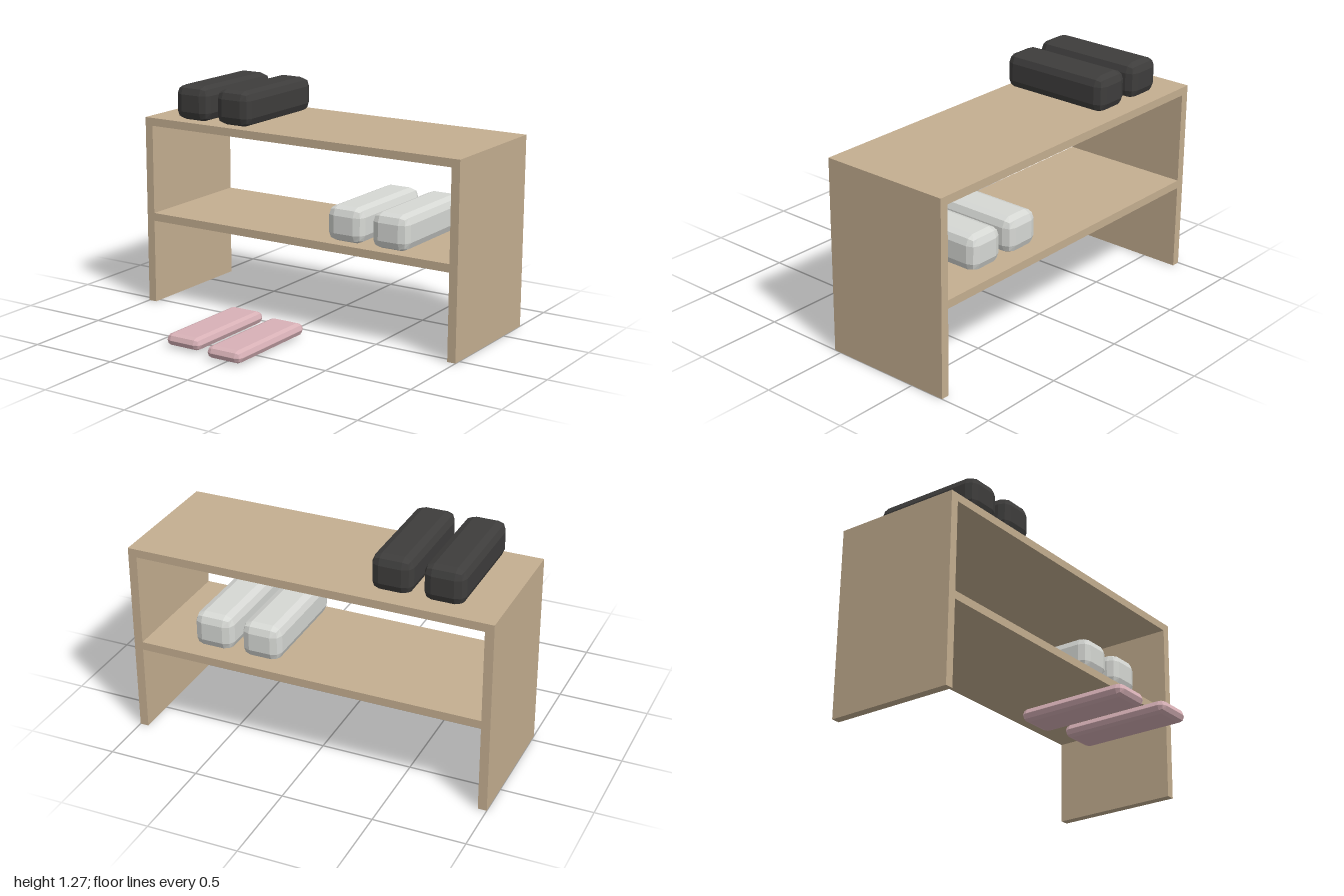
import * as THREE from 'three';
import { RoundedBoxGeometry } from 'three/addons/geometries/RoundedBoxGeometry.js';

const material = (name, color) => {
  const m = new THREE.MeshStandardMaterial({ color });
  m.name = name;
  return m;
};

// Closed outline from a list of corners
const trace = (path, corners) => path.setFromPoints(corners.map(([x, y]) => new THREE.Vector2(x, y))).closePath();

export function createModel() {
  const wood = material('wood', 0xc4ae90);
  const charcoal = material('charcoal', 0x3e3d3c);
  const paleGrey = material('paleGrey', 0xd6d8d4);
  const pink = material('pink', 0xd8b1b7);

  const model = new THREE.Group();
  model.name = 'shoeRack';

  // Open rack: two side panels, a top and a middle shelf in one profile
  const profile = trace(new THREE.Shape(), [
    [-1, 0], [-0.952, 0], [-0.952, 0.48], [0.952, 0.48],
    [0.952, 0], [1, 0], [1, 1.075], [-1, 1.075],
  ]);
  profile.holes.push(trace(new THREE.Path(), [
    [-0.952, 0.525], [-0.952, 1.03], [0.952, 1.03], [0.952, 0.525],
  ]));
  const rackGeometry = new THREE.ExtrudeGeometry(profile, { depth: 0.742, bevelEnabled: false });
  rackGeometry.translate(0, 0, -0.702);
  const rack = new THREE.Mesh(rackGeometry, wood);
  rack.name = 'rack';
  model.add(rack);

  // Pairs of faceted, rounded shoe blocks; each spot is [x, z]
  const addPair = (name, mat, [w, h, d], radius, bottom, spots) => {
    const pair = new THREE.Group();
    pair.name = name;
    const geometry = new RoundedBoxGeometry(w, h, d, 1, radius);
    geometry.computeVertexNormals(); // crisp facets
    spots.forEach(([x, z], i) => {
      const shoe = new THREE.Mesh(geometry, mat);
      shoe.name = i ? 'leftShoe' : 'rightShoe';
      shoe.position.set(x, bottom + h / 2, z);
      pair.add(shoe);
    });
    model.add(pair);
  };

  const tall = [0.22, 0.197, 0.646];
  addPair('topShoes', charcoal, tall, 0.05, 1.078, [[-0.702, -0.305], [-0.427, -0.305]]);
  addPair('shelfShoes', paleGrey, tall, 0.05, 0.528, [[0.298, -0.305], [0.573, -0.305]]);
  addPair('floorSlippers', pink, [0.218, 0.07, 0.615], 0.034, 0.005, [[-0.303, 0.345], [-0.003, 0.394]]);

  return model;
}
